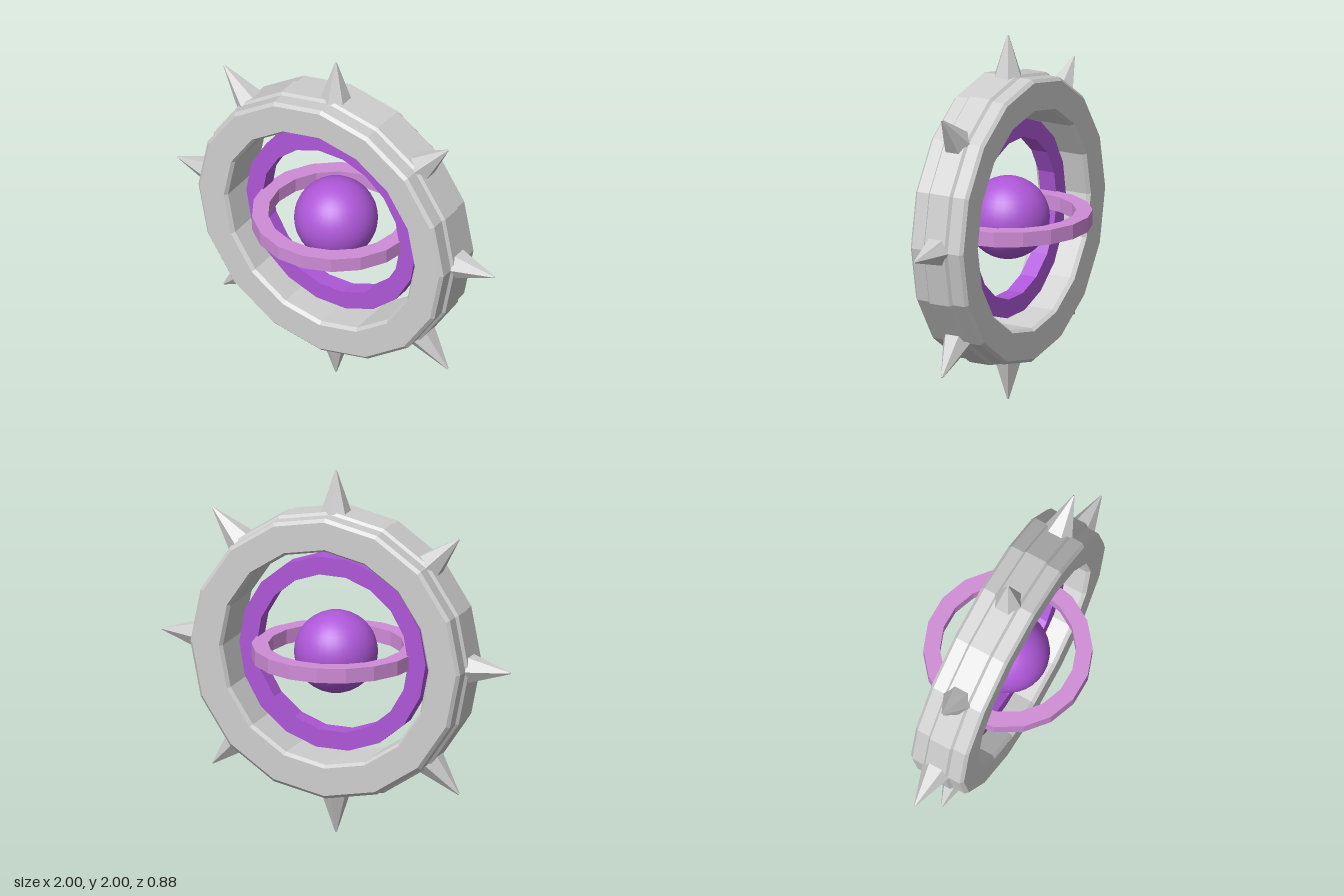
import * as THREE from 'three';

const material = (name, color) => {
  const m = new THREE.MeshStandardMaterial({ color });
  m.name = name;
  return m;
};

// Faceted normals for the low-poly parts
const faceted = (geometry) => {
  const g = geometry.toNonIndexed();
  g.computeVertexNormals();
  return g;
};

// Closed ring swept from a cross-section of [radius, height] points
const ringGeometry = (profile, sides) => {
  const points = [...profile, profile[0]].map(([r, y]) => new THREE.Vector2(r, y));
  return faceted(new THREE.LatheGeometry(points, sides, Math.PI / 2));
};

const flatRing = (inner, outer, half, sides) =>
  ringGeometry([[inner, -half], [outer, -half], [outer, half], [inner, half]], sides);

export function createModel() {
  const model = new THREE.Group();
  model.name = 'spikedGyroscope';

  const grey = material('light grey', 0xcfcfcf);
  const purple = material('purple', 0xae57d8);
  const pink = material('pink violet', 0xcf8cd6);

  const add = (name, geometry, mat, parent = model) => {
    const mesh = new THREE.Mesh(geometry, mat);
    mesh.name = name;
    parent.add(mesh);
    return mesh;
  };

  // Everything turns about the centre, one unit above the ground
  const body = new THREE.Group();
  body.name = 'body';
  body.position.y = 1;
  model.add(body);

  // Outer ring: chamfered rims and a raised centre band
  const half = [
    [0.59, 0.14], [0.605, 0.16], [0.757, 0.16], [0.775, 0.143],
    [0.775, 0.073], [0.79, 0.06],
  ];
  const profile = [
    ...half.map(([r, z]) => [r, -z]),
    ...half.slice().reverse(),
  ];
  add('outerRing', ringGeometry(profile, 16), grey, body).rotation.x = Math.PI / 2;

  // Eight six-sided spikes around the rim
  const spikeBase = 0.775;
  const spikeLength = 1 - spikeBase;
  const spike = faceted(new THREE.CylinderGeometry(0.005, 0.08, spikeLength, 6));
  spike.translate(0, spikeBase + spikeLength / 2, 0);
  for (let i = 0; i < 8; i++) {
    add('spike' + (i + 1), spike, grey, body).rotation.z = (i * Math.PI) / 4;
  }

  // Upright and level inner rings
  add('uprightRing', flatRing(0.435, 0.535, 0.048, 18), purple, body).rotation.x = Math.PI / 2;
  add('levelRing', flatRing(0.36, 0.447, 0.04, 18), pink, body);

  // Core
  add('core', new THREE.SphereGeometry(0.222, 32, 20), purple, body);

  return model;
}
